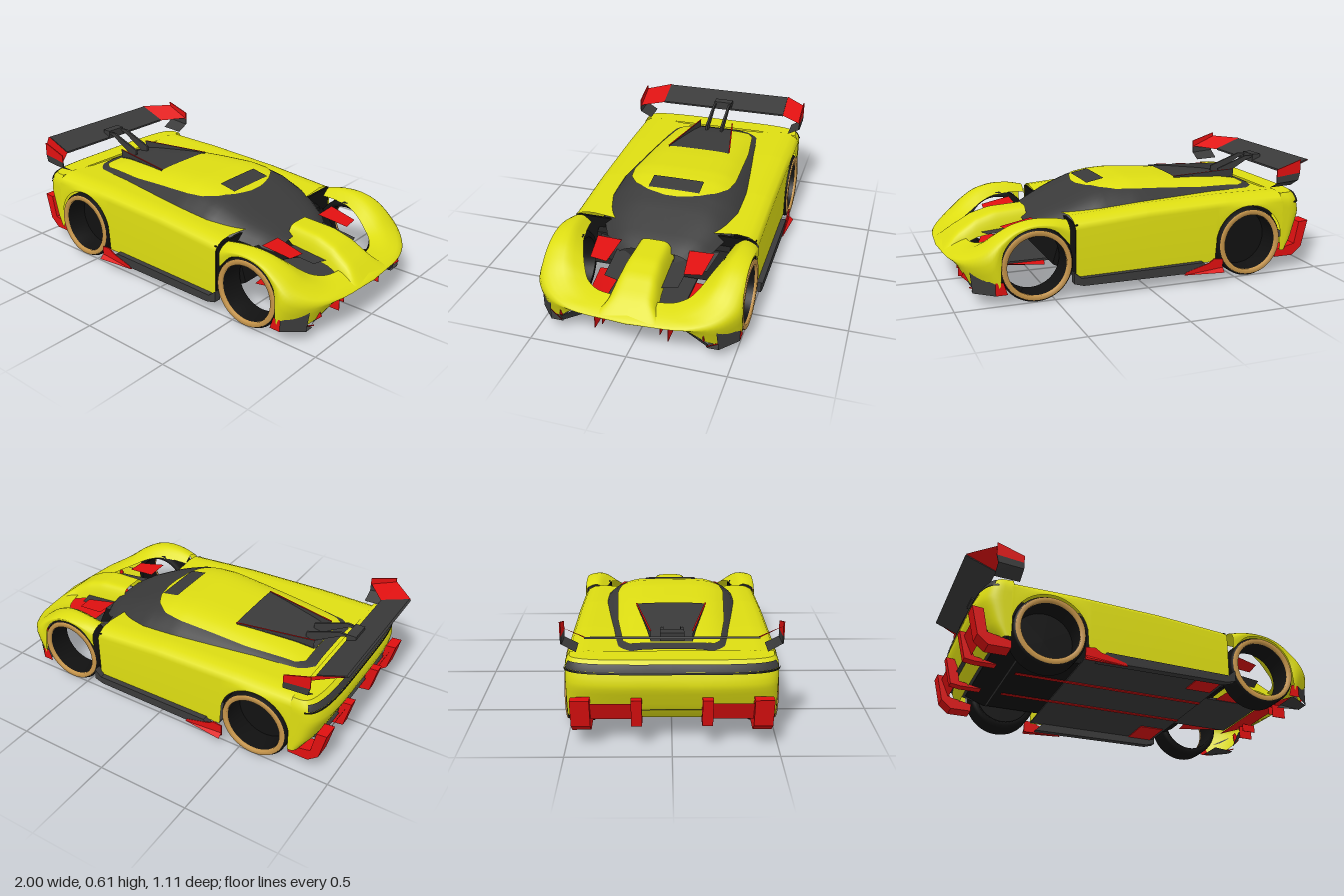
import * as THREE from 'three';

const mat = (name, color) => new THREE.MeshStandardMaterial({ name, color, side: THREE.DoubleSide });

export function createModel() {
  const car = new THREE.Group();
  car.name = 'raceCar';
  const yellow = mat('yellow paint', 0xdddd12), dark = mat('dark grey', 0x3a3a3a), black = mat('black', 0x111111),
    red = mat('red', 0xe01010), gold = mat('gold', 0xc8964a);

  const add = (name, geo, m) => {
    const mesh = new THREE.Mesh(geo, m);
    mesh.name = name;
    car.add(mesh);
    return mesh;
  };
  // linear lookup in [[x, value], ...]
  const look = (t, x) => {
    let i = 0;
    while (i < t.length - 2 && x > t[i + 1][0]) i++;
    const k = THREE.MathUtils.clamp((x - t[i][0]) / (t[i + 1][0] - t[i][0]), 0, 1);
    return t[i][1] + k * (t[i + 1][1] - t[i][1]);
  };
  // surface from fn(u, v) -> [x, y, z]
  const grid = (name, nu, nv, fn, m) => {
    const p = [], idx = [];
    for (let i = 0; i <= nu; i++) for (let j = 0; j <= nv; j++) {
      p.push(...fn(i / nu, j / nv));
      if (i < nu && j < nv) {
        const a = i * (nv + 1) + j, b = a + nv + 1;
        idx.push(a, a + 1, b, b, a + 1, b + 1);
      }
    }
    const g = new THREE.BufferGeometry();
    g.setAttribute('position', new THREE.Float32BufferAttribute(p, 3));
    g.setIndex(idx);
    g.computeVertexNormals();
    return add(name, g, m);
  };
  // four-cornered panel
  const quad = (name, a, b, c, d, m) => grid(name, 1, 1, (u, v) => [[a, b], [d, c]][u][v], m);
  // side profile in x,y extruded from z0 to z1
  const slab = (name, pts, z0, z1, m) => {
    const g = new THREE.ExtrudeGeometry(new THREE.Shape(pts.map(p => new THREE.Vector2(...p))),
      { depth: Math.abs(z1 - z0), bevelEnabled: false });
    return add(name, g.translate(0, 0, Math.min(z0, z1)), m);
  };
  const box = (name, x0, x1, y0, y1, z0, z1, m) => add(name,
    new THREE.BoxGeometry(x1 - x0, y1 - y0, Math.abs(z1 - z0)).translate((x0 + x1) / 2, (y0 + y1) / 2, (z0 + z1) / 2), m);

  // main shell with arched cut-outs over the rear wheels
  const shoulder = [[-0.78, 0.44], [-0.45, 0.44], [0, 0.425], [0.39, 0.395]];
  grid('bodyShell', 120, 12, (u, v) => {
    const x = -0.78 + u * 1.17, s = look(shoulder, x), dx = Math.abs(x + 0.58);
    const yb = dx < 0.195 ? 0.19 + Math.sqrt(0.195 ** 2 - dx * dx) : 0.1;
    const half = [[0, s - 0.02], [0.25, s - 0.015], [0.39, s], [0.45, s - 0.007], [0.485, s - 0.025],
      [0.502, s - 0.05], [0.5, Math.min(yb, s - 0.055)]];
    const j = Math.round(v * 12) - 6, q = half[Math.abs(j)];
    return [x, q[1], Math.sign(j) * q[0]];
  }, yellow);

  // rounded tail
  const tailX = [[0.12, -0.83], [0.18, -0.88], [0.26, -0.915], [0.32, -0.94], [0.38, -0.925], [0.42, -0.91], [0.435, -0.885]];
  const tailPoint = (y, t, grow) => {
    const a = (t - 0.5) * Math.PI, back = look(tailX, y) + 0.77 - grow;
    return [-0.77 + back * Math.abs(Math.cos(a)) ** 0.45, y,
      Math.sign(Math.sin(a)) * (0.5 + grow - (y > 0.4 ? (y - 0.4) * 0.6 : 0)) * Math.abs(Math.sin(a)) ** 0.5];
  };
  grid('tail', 12, 48, (u, v) => tailPoint(0.12 + u * 0.315, v, 0), yellow);
  grid('tailDeck', 4, 48, (u, v) => {
    const p = tailPoint(0.435, v, 0);
    return [p[0] + (-0.77 - p[0]) * u, 0.435, p[2]];
  }, yellow);
  grid('tailBand', 2, 40, (u, v) => tailPoint(0.39 + u * 0.033, 0.1 + v * 0.8, 0.005), dark);
  grid('tailBandShadow', 1, 40, (u, v) => tailPoint(0.38 + u * 0.01, 0.06 + v * 0.88, 0.006), black);

  // glasshouse, with roof panels riding on the same surface
  const canW = [[-0.75, 0.22], [-0.7, 0.28], [-0.4, 0.32], [0, 0.37], [0.2, 0.37], [0.35, 0.345], [0.5, 0.265], [0.56, 0.2]];
  const canTop = [[-0.75, 0.435], [-0.6, 0.465], [-0.4, 0.487], [-0.2, 0.505], [0, 0.516], [0.1, 0.511], [0.2, 0.492],
    [0.3, 0.455], [0.4, 0.41], [0.5, 0.365], [0.56, 0.33]];
  const canBase = [[-0.75, 0.415], [0, 0.395], [0.2, 0.38], [0.4, 0.335], [0.56, 0.28]];
  const canopy = (x, z, lift) => {
    const b = look(canBase, x), v = Math.min(1, Math.abs(z) / look(canW, x));
    return [x, b + (look(canTop, x) - b) * (1 - v ** 4.5) + lift, z];
  };
  const panel = (name, x0, x1, width, lift, m) => grid(name, 40, 20, (u, v) => {
    const x = x0 + u * (x1 - x0);
    return canopy(x, (v * 2 - 1) * look(width, x), lift);
  }, m);
  panel('glasshouse', -0.75, 0.56, canW, 0, dark);
  panel('roofPanel', -0.7, 0.245, [[-0.7, 0.2], [-0.66, 0.235], [-0.4, 0.27], [0, 0.29], [0.1, 0.275], [0.17, 0.23],
    [0.215, 0.16], [0.235, 0.1], [0.245, 0.04]], 0.005, yellow);
  panel('roofVent', 0.115, 0.21, [[0, 0.14], [1, 0.14]], 0.01, dark);
  panel('engineCover', -0.7, -0.28, [[-0.7, 0.1], [-0.28, 0.18]], 0.01, dark);

  // nose and front fenders: one sweep from fender tail to nose centre
  const rows = [
    [0.42, 0.355, 0.39, 0.42, 0.39, 0.44, 0.42, 0.36, 0.505, 0.42, 0.275, 0.507],
    [0.5, 0.36, 0.38, 0.5, 0.405, 0.44, 0.5, 0.382, 0.51, 0.5, 0.358, 0.51],
    [0.6, 0.355, 0.36, 0.6, 0.405, 0.43, 0.6, 0.388, 0.51, 0.6, 0.376, 0.51],
    [0.68, 0.33, 0.33, 0.69, 0.382, 0.415, 0.69, 0.365, 0.51, 0.69, 0.347, 0.51],
    [0.75, 0.29, 0.295, 0.77, 0.337, 0.4, 0.765, 0.315, 0.51, 0.755, 0.27, 0.51],
    [0.8, 0.265, 0.26, 0.84, 0.28, 0.37, 0.835, 0.255, 0.5, 0.785, 0.08, 0.507],
    [0.84, 0.25, 0.2, 0.9, 0.24, 0.3, 0.91, 0.215, 0.43, 0.875, 0.075, 0.4],
    [0.86, 0.25, 0.12, 0.94, 0.225, 0.17, 0.97, 0.2, 0.3, 0.955, 0.187, 0.27],
    [0.87, 0.255, 0, 0.95, 0.23, 0, 1, 0.2, 0, 0.99, 0.19, 0]];
  const rails = [0, 3, 6, 9].map(c => new THREE.CatmullRomCurve3(rows.map(r => new THREE.Vector3(r[c], r[c + 1], r[c + 2]))));
  grid('frontFendersAndNose', 80, 12, (u, v) => {
    const t = u < 0.5 ? u * 2 : 2 - u * 2;
    const p = new THREE.CatmullRomCurve3(rails.map(c => c.getPoint(t))).getPoint(v);
    return [Math.min(p.x, 1), p.y, u < 0.5 ? p.z : -p.z];
  }, yellow);
  const ridgeTop = [[0.53, 0.38], [0.7, 0.37], [0.8, 0.34], [0.9, 0.28], [0.98, 0.21]];
  const ridgeBase = [[0.53, 0.285], [0.8, 0.25], [0.9, 0.215], [0.98, 0.195]];
  grid('noseRidge', 20, 28, (u, v) => {
    const x = 0.53 + u * 0.45, s = v * 2 - 1, b = look(ridgeBase, x);
    return [x, b + (look(ridgeTop, x) - b) * (1 - Math.abs(s) ** 6),
      s * look([[0.53, 0.1], [0.8, 0.118], [0.9, 0.13], [0.98, 0.18]], x)];
  }, yellow);

  // chassis
  slab('chassisTub', [[-0.8, 0.15], [-0.7, 0.112], [0.42, 0.112], [0.47, 0.14], [0.42, 0.3], [0.3, 0.35], [-0.8, 0.4]], -0.36, 0.36, black);
  box('bulkhead', 0.375, 0.388, 0.11, 0.37, -0.49, 0.49, black);
  box('floor', -0.38, 0.4, 0.105, 0.112, -0.5, 0.5, dark);
  box('frontFloor', 0.4, 0.74, 0.112, 0.125, -0.2, 0.2, dark);
  quad('frontIntake', [0.95, 0.189, -0.27], [0.95, 0.189, 0.27], [0.74, 0.108, 0.25], [0.74, 0.108, -0.25], red);
  quad('rearDiffuser', [-0.68, 0.11, -0.36], [-0.68, 0.11, 0.36], [-0.9, 0.19, 0.42], [-0.9, 0.19, -0.42], dark);

  // wing blade and mounts
  slab('wingBlade', [[-1, 0.583], [-0.84, 0.523], [-0.84, 0.533], [-0.99, 0.59]], -0.385, 0.385, dark);
  box('wingMount', -0.89, -0.84, 0.53, 0.57, -0.055, 0.055, dark);

  // mirrored parts
  for (const s of [1, -1]) {
    const side = s > 0 ? 'left' : 'right';
    // wheels: open tyre tubes with a thin rim ring
    for (const [end, x] of [['Rear', -0.58], ['Front', 0.59]]) {
      const spin = (name, pts, m) => add(side + end + name,
        new THREE.LatheGeometry(pts.map(p => new THREE.Vector2(...p)), 48).rotateX(Math.PI / 2), m).position.set(x, 0.188, s * 0.44);
      spin('Tyre', [[0.152, -0.07], [0.175, -0.07], [0.186, -0.055], [0.187, 0], [0.186, 0.055], [0.175, 0.07], [0.152, 0.07], [0.152, -0.07]], black);
      spin('Rim', [[0.151, s * 0.06], [0.151, s * 0.074], [0.175, s * 0.074], [0.177, s * 0.066]], gold);
      if (end === 'Rear') spin('WheelBack', [[0, s * -0.06], [0.153, s * -0.06]], black);
    }
    // side skirt and its flared red end
    slab(side + 'Skirt', [[-0.35, 0.06], [0.36, 0.065], [0.41, 0.08], [0.41, 0.14], [0.37, 0.105], [-0.3, 0.112]], s * 0.49, s * 0.53, dark);
    slab(side + 'SkirtEnd', [[-0.41, 0.055], [-0.19, 0.055], [-0.2, 0.07], [-0.33, 0.105], [-0.36, 0.125], [-0.41, 0.12]], s * 0.525, s * 0.532, red);
    quad(side + 'SkirtFlare', [-0.41, 0.052, s * 0.556], [-0.19, 0.055, s * 0.533], [-0.36, 0.07, s * 0.533], [-0.41, 0.075, s * 0.533], red);
    // wing tips, end plates and curled feet
    quad(side + 'WingTip', [-1, 0.59, s * 0.385], [-0.84, 0.527, s * 0.385], [-0.73, 0.535, s * 0.508], [-0.87, 0.595, s * 0.508], red);
    slab(side + 'EndPlate', [[-0.87, 0.615], [-0.73, 0.57], [-0.73, 0.53], [-0.87, 0.545]], s * 0.504, s * 0.51, red);
    slab(side + 'EndPlateLower', [[-0.87, 0.545], [-0.73, 0.53], [-0.73, 0.495], [-0.86, 0.505]], s * 0.504, s * 0.51, dark);
    quad(side + 'EndPlateFoot', [-0.86, 0.505, s * 0.508], [-0.73, 0.495, s * 0.508], [-0.73, 0.46, s * 0.44], [-0.86, 0.465, s * 0.44], dark);
    slab(side + 'WingStrut', [[-0.86, 0.56], [-0.8, 0.565], [-0.62, 0.5], [-0.62, 0.46], [-0.66, 0.46], [-0.8, 0.54]], s * 0.04, s * 0.052, dark);
    // engine cover rails with red edge
    quad(side + 'CoverRail', [-0.69, 0.44, s * 0.1], [-0.28, 0.49, s * 0.18], [-0.28, 0.505, s * 0.18], [-0.69, 0.503, s * 0.1], dark);
    quad(side + 'CoverRailEdge', [-0.69, 0.504, s * 0.096], [-0.28, 0.507, s * 0.176], [-0.28, 0.507, s * 0.184], [-0.69, 0.504, s * 0.104], red);
    // front splitter plates, corner pieces and inner fins
    quad(side + 'SplitterEnd', [0.74, 0.06, s * 0.512], [0.8, 0.06, s * 0.512], [0.8, 0.125, s * 0.512], [0.76, 0.125, s * 0.512], red);
    quad(side + 'Splitter', [0.8, 0.06, s * 0.512], [0.895, 0.06, s * 0.43], [0.905, 0.165, s * 0.42], [0.8, 0.12, s * 0.512], dark);
    quad(side + 'SplitterFloor', [0.76, 0.06, s * 0.51], [0.895, 0.06, s * 0.43], [0.89, 0.055, s * 0.37], [0.77, 0.065, s * 0.37], dark);
    quad(side + 'CornerPanel', [0.95, 0.188, s * 0.27], [0.85, 0.12, s * 0.22], [0.88, 0.055, s * 0.37], [0.9, 0.09, s * 0.38], dark);
    quad(side + 'CornerLip', [0.9, 0.068, s * 0.37], [0.9, 0.075, s * 0.37], [0.8, 0.075, s * 0.512], [0.8, 0.068, s * 0.512], red);
    slab(side + 'CornerFin', [[0.895, 0.16], [0.905, 0.1], [0.935, 0.13], [0.91, 0.175]], s * 0.36, s * 0.364, red);
    for (const [z, y] of [[0.145, 0.105], [0.185, 0.075]]) box(side + 'NoseFin', 0.84, 0.92, y, 0.15, s * z, s * (z + 0.003), red);
    // red blades and dark ducts in the nose openings
    quad(side + 'NoseBlade', [0.53, 0.352, s * 0.31], [0.69, 0.325, s * 0.29], [0.7, 0.32, s * 0.2], [0.53, 0.347, s * 0.18], red);
    quad(side + 'NoseDuct', [0.46, 0.32, s * 0.32], [0.52, 0.325, s * 0.1], [0.64, 0.25, s * 0.12], [0.56, 0.26, s * 0.28], black);
    quad(side + 'NoseArm', [0.55, 0.3, s * 0.2], [0.55, 0.29, s * 0.1], [0.78, 0.275, s * 0.11], [0.76, 0.28, s * 0.19], dark);
    quad(side + 'FloorWing', [0.47, 0.115, s * 0.2], [0.74, 0.115, s * 0.2], [0.7, 0.145, s * 0.29], [0.5, 0.13, s * 0.32], red);
    // underside strips
    box(side + 'FloorStrip', -0.65, 0.4, 0.1, 0.105, s * 0.13, s * 0.15, red);
    box(side + 'FloorPatch', 0.24, 0.38, 0.1, 0.105, s * 0.3, s * 0.49, red);
    // rear bumper blades
    const fin = [[-0.96, 0.265], [-0.905, 0.26], [-0.88, 0.14], [-0.76, 0.115], [-0.76, 0.075], [-0.87, 0.075], [-0.925, 0.12]];
    slab(side + 'RearCornerBlade', fin, s * 0.38, s * 0.47, red);
    slab(side + 'RearInnerBlade', fin.map(([x, y]) => [x, Math.max(y, 0.112)]), s * 0.14, s * 0.19, red);
    quad(side + 'RearLip', [-0.935, 0.24, s * 0.16], [-0.935, 0.24, s * 0.4], [-0.89, 0.14, s * 0.4], [-0.89, 0.14, s * 0.16], red);
  }
  return car;
}
